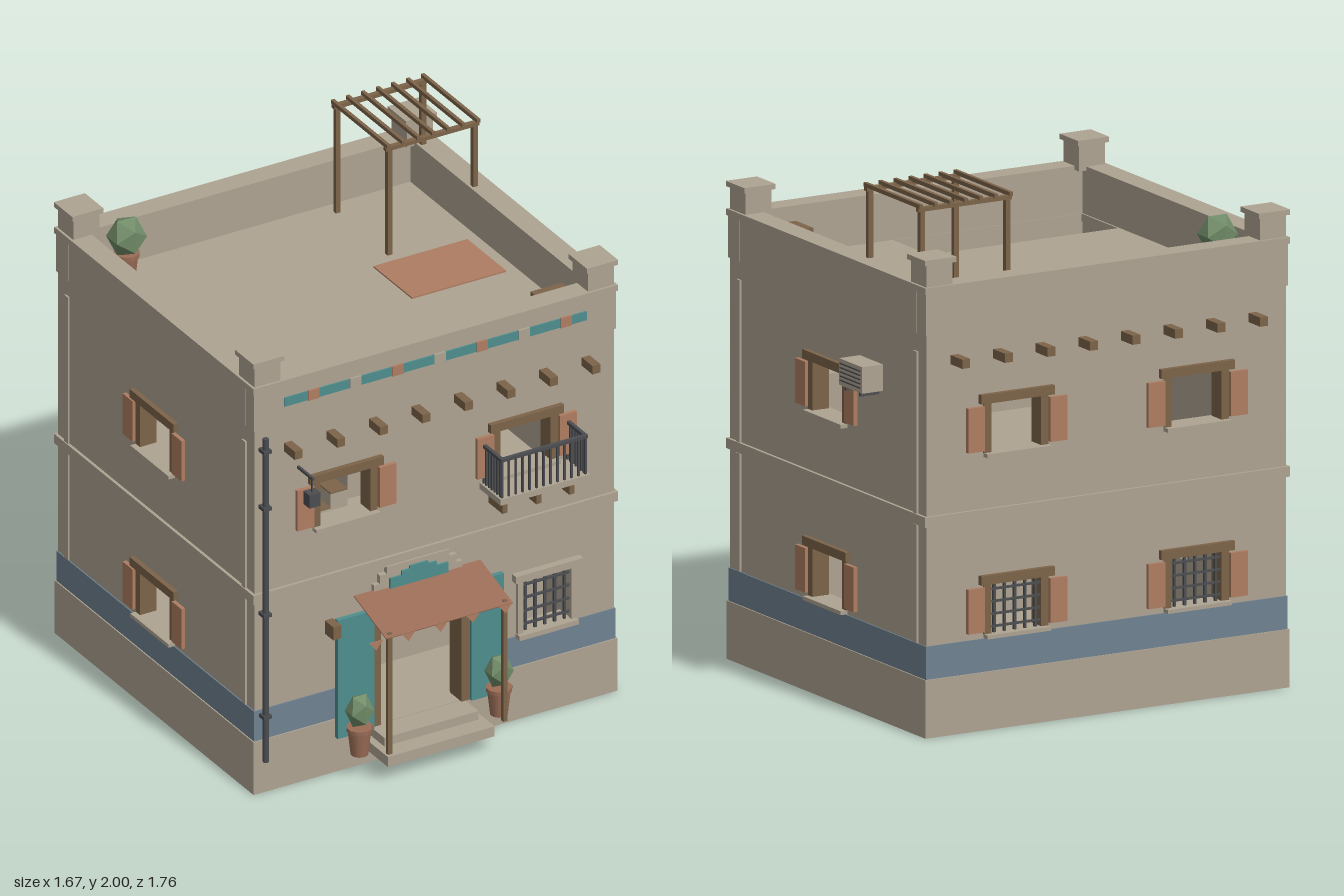
import * as THREE from 'three';

const mat = (name, color) => Object.assign(new THREE.MeshStandardMaterial({ color }), { name });
const M = {
  plaster: mat('plaster', 0xaea392), blue: mat('blue dado', 0x6f8291), wood: mat('wood', 0x7c6449),
  terra: mat('terracotta', 0xae7d62), clay: mat('clay', 0x9a6c56), teal: mat('teal', 0x4f8e8d),
  iron: mat('iron', 0x4b4d50), leaf: mat('foliage', 0x6f8a66),
};
// outer wall faces and wall thickness
const X0 = -0.807, X1 = 0.738, Z0 = -0.795, Z1 = 0.628, T = 0.075;
const DOOR = [-0.285, 0.075];

function add(parent, name, geo, material) {
  const m = new THREE.Mesh(geo, material);
  m.name = name;
  parent.add(m);
  return m;
}
// box given by its lower and upper bounds
function box(parent, name, material, x0, x1, y0, y1, z0, z1) {
  const m = add(parent, name, new THREE.BoxGeometry(x1 - x0, y1 - y0, z1 - z0), material);
  m.position.set((x0 + x1) / 2, (y0 + y1) / 2, (z0 + z1) / 2);
  return m;
}
function rect(C, x0, x1, y0, y1) {
  const s = new C();
  s.moveTo(x0, y0); s.lineTo(x1, y0); s.lineTo(x1, y1); s.lineTo(x0, y1); s.closePath();
  return s;
}
function group(parent, name, x = 0, y = 0, z = 0, ry = 0) {
  const g = new THREE.Group();
  g.name = name; g.position.set(x, y, z); g.rotation.y = ry;
  parent.add(g);
  return g;
}
// wall in its own frame: outside at z = 0, holes as [centre, bottom, width, height]
function wall(g, x0, x1, holes) {
  const s = rect(THREE.Shape, x0, x1, 0.14, 1.69);
  for (const [c, b, w, h] of holes) s.holes.push(rect(THREE.Path, c - w / 2, c + w / 2, b, b + h));
  const geo = new THREE.ExtrudeGeometry(s, { depth: T, bevelEnabled: false });
  add(g, 'wall', geo.translate(0, 0, -T), M.plaster);
}
function grille(g, c, b, w, h) {
  for (let i = 0; i < 5; i++) {
    const x = c - w / 2 + w * (i + 0.5) / 5;
    box(g, 'grilleBar', M.iron, x - 0.005, x + 0.005, b, b + h, -0.012, -0.002);
  }
  for (let i = 0; i < 4; i++) {
    const y = b + h * (i + 0.5) / 4;
    box(g, 'grilleRail', M.iron, c - w / 2, c + w / 2, y - 0.004, y + 0.004, -0.01, 0);
  }
}
// shuttered window around an opening
function shuttered(parent, [c, b, w, h], barred) {
  const g = group(parent, 'window'), r = w / 2;
  box(g, 'lintel', M.wood, c - 0.158, c + 0.158, b + h, b + h + 0.035, -0.06, 0.02);
  box(g, 'sill', M.plaster, c - 0.138, c + 0.138, b - 0.015, b, -0.06, 0.03);
  for (const s of [-1, 1]) {
    const a = c + s * (r - 0.012);
    box(g, 'jamb', M.wood, a - 0.016, a + 0.016, b, b + h, -0.065, 0.006);
    const d = c + s * (r + 0.042);
    box(g, 'shutter', M.terra, d - 0.036, d + 0.036, b + 0.01, b + h - 0.01, 0.002, 0.018);
  }
  if (barred) grille(g, c, b, w - 0.05, h);
}
// trim around the house, optionally broken at the door
function band(parent, name, material, y0, y1, out, th, gap) {
  const a = X0 - out, b = X1 + out, c = Z0 - out, d = Z1 + out, g = group(parent, name);
  if (gap) {
    box(g, name, material, a, DOOR[0], y0, y1, d - th, d);
    box(g, name, material, DOOR[1], b, y0, y1, d - th, d);
  } else box(g, name, material, a, b, y0, y1, d - th, d);
  box(g, name, material, a, b, y0, y1, c, c + th);
  box(g, name, material, a, a + th, y0, y1, c + th, d - th);
  box(g, name, material, b - th, b, y0, y1, c + th, d - th);
}
function planter(parent, x, y, z, r) {
  const g = group(parent, 'planter', x, y, z);
  add(g, 'pot', new THREE.CylinderGeometry(0.045, 0.034, 0.1, 10), M.clay).position.y = 0.05;
  add(g, 'potRim', new THREE.CylinderGeometry(0.05, 0.05, 0.016, 10), M.clay).position.y = 0.107;
  const f = add(g, 'foliage', new THREE.IcosahedronGeometry(r, 0), M.leaf);
  f.material.flatShading = true;
  f.scale.y = 0.073 / r * (r > 0.06 ? 1.15 : 1);
  f.position.y = 0.182;
}
// stepped ornament made of stacked plates: [half width, bottom, top]
const stepped = (g, name, m, rows, z) =>
  rows.forEach(([w, a, b]) => box(g, name, m, -0.115 - w, -0.115 + w, a, b, 0, z));

export function createModel() {
  const root = new THREE.Group();
  root.name = 'house';

  // four walls with their windows
  const W = 0.27, H = 0.19, cx = [-0.42, 0.355];
  const up = cx.map(c => [c, 1.055, W, H]), low = [0.445, 0.36, 0.21, 0.22];
  const front = group(root, 'frontWall', 0, 0, Z1);
  wall(front, X0, X1, [...up, low, [(DOOR[0] + DOOR[1]) / 2, 0.15, DOOR[1] - DOOR[0], 0.52]]);
  up.forEach(o => shuttered(front, o));
  const back = group(root, 'backWall', 0, 0, Z0, Math.PI);
  const backUp = cx.map(c => [-c, 1.055, W, H]), backLow = cx.map(c => [-c, 0.365, W, H]);
  wall(back, -X1, -X0, [...backUp, ...backLow]);
  backUp.forEach(o => shuttered(back, o));
  backLow.forEach(o => shuttered(back, o, true));
  for (const s of [-1, 1]) {
    const g = group(root, s > 0 ? 'leftWall' : 'rightWall', s > 0 ? X1 : X0, 0, 0, s * Math.PI / 2);
    const holes = [[s * 0.085, 1.075, W, H], [s * 0.085, 0.365, W, H]];
    const e = [-s * (Z1 - T), -s * (Z0 + T)].sort((a, b) => a - b);
    wall(g, e[0], e[1], holes);
    holes.forEach(o => shuttered(g, o));
    for (const z of [0.56, -0.725]) for (const [a, b] of [[0.35, 0.8], [0.84, 1.46], [1.53, 1.69]])
      box(g, 'pilaster', M.plaster, -s * z - 0.013, -s * z + 0.013, a, b, 0, 0.008);
  }

  // floors, partition and roof deck with stairwell
  box(root, 'base', M.plaster, X0 - 0.01, X1 + 0.01, 0, 0.15, Z0 - 0.01, Z1 + 0.01);
  box(root, 'upperFloor', M.plaster, X0 + T, X1 - T, 0.8, 0.82, Z0 + T, Z1 - T);
  box(root, 'partition', M.plaster, X0 + T, X1 - T, 0.15, 0.8, 0.23, 0.25);
  const deck = rect(THREE.Shape, X0 + T, X1 - T, -(Z1 - T), -(Z0 + T));
  deck.holes.push(rect(THREE.Path, -0.725, 0.085, -0.55, -0.285));
  const deckGeo = new THREE.ExtrudeGeometry(deck, { depth: 0.03, bevelEnabled: false });
  add(root, 'roofDeck', deckGeo.rotateX(-Math.PI / 2).translate(0, 1.5, 0), M.plaster);
  const stairs = group(root, 'stairs');
  for (let i = 0; i < 11; i++) {
    const x = -0.725 + i * 0.073, y = 0.82 + (i + 1) * 0.06;
    box(stairs, 'step', M.plaster, x, x + 0.073, Math.max(0.82, y - 0.1), y, 0.29, 0.548);
    box(stairs, 'tread', M.wood, x, x + 0.073, y, y + 0.005, i < 4 || i > 8 ? 0.29 : 0.42, 0.548);
  }

  // plinth, dado, string course, parapet and coping
  band(root, 'plinth', M.plaster, 0.15, 0.222, 0.01, 0.03, true);
  band(root, 'dado', M.blue, 0.222, 0.348, 0.005, 0.02, true);
  band(root, 'stringCourse', M.plaster, 0.803, 0.842, 0.012, 0.03);
  band(root, 'parapetBand', M.plaster, 1.53, 1.69, 0.006, 0.03);
  band(root, 'coping', M.plaster, 1.69, 1.715, 0.011, 0.09);
  for (const x of [X0 + 0.055, X1 - 0.055]) for (const z of [Z0 + 0.055, Z1 - 0.055]) {
    const g = group(root, 'cornerPier', x, 0, z);
    box(g, 'pier', M.plaster, -0.056, 0.056, 1.7, 1.8, -0.056, 0.056);
    box(g, 'pierCap', M.plaster, -0.067, 0.067, 1.8, 1.82, -0.067, 0.067);
  }

  // projecting roof beams, front and back
  for (let i = 0; i < 8; i++) {
    const x = -0.664 + i * 0.183;
    box(root, 'beamEnd', M.wood, x - 0.017, x + 0.017, 1.41, 1.445, Z1 - 0.02, 0.707);
    box(root, 'beamEnd', M.wood, x - 0.017, x + 0.017, 1.41, 1.445, -0.88, Z0 + 0.02);
  }
  // painted frieze
  box(root, 'frieze', M.teal, -0.685, 0.615, 1.604, 1.641, Z1, 0.64);
  for (let i = 0; i < 7; i++) {
    const x = -0.56 + i * 0.181;
    box(root, 'friezeTile', i % 2 ? M.plaster : M.terra, x - 0.024, x + 0.024, 1.602, 1.643, Z1, 0.643);
  }

  // barred ground-floor window
  box(front, 'barredLintel', M.plaster, 0.3, 0.59, 0.585, 0.615, 0, 0.03);
  box(front, 'barredSill', M.plaster, 0.315, 0.57, 0.34, 0.36, 0, 0.03);
  for (const x of [0.33, 0.56]) box(front, 'barredJamb', M.plaster, x - 0.012, x + 0.012, 0.36, 0.585, 0, 0.012);
  grille(front, ...low);

  // doorway: frame, open leaves, stepped ornament, steps
  for (const x of [-0.295, 0.088]) box(front, 'doorPost', M.wood, x - 0.018, x + 0.018, 0.15, 0.68, -0.06, 0.022);
  box(front, 'doorLintel', M.wood, -0.32, 0.11, 0.665, 0.705, -0.06, 0.022);
  box(front, 'doorLeaf', M.teal, -0.47, -0.313, 0.15, 0.65, 0.015, 0.035);
  box(front, 'doorLeaf', M.teal, 0.106, 0.245, 0.15, 0.65, 0.015, 0.035);
  stepped(front, 'doorSurround', M.plaster, [[0.19, 0.705, 0.745], [0.165, 0.745, 0.78], [0.135, 0.78, 0.808]], 0.02);
  stepped(front, 'doorOrnament', M.teal, [[0.125, 0.705, 0.76], [0.075, 0.76, 0.778], [0.04, 0.778, 0.79]], 0.028);
  box(root, 'upperStep', M.plaster, -0.315, 0.09, 0.11, 0.148, 0.63, 0.74);
  box(root, 'lowerStep', M.plaster, -0.345, 0.115, 0.07, 0.112, 0.63, 0.815);
  box(root, 'wallBox', M.wood, -0.505, -0.47, 0.59, 0.645, Z1, 0.69);

  // awning on posts with pennants
  const awning = group(root, 'awning', -0.115, 0.685, 0.757);
  awning.rotation.x = Math.atan2(0.07, 0.236);
  box(awning, 'canopy', M.clay, -0.272, 0.272, -0.002, 0.002, -0.123, 0.123);
  for (const x of [-0.362, 0.133]) box(root, 'awningPost', M.wood, x - 0.009, x + 0.009, 0.15, 0.66, 0.845, 0.862);
  const tri = new THREE.Shape([[-0.03, 0], [0, -0.038], [0.03, 0]].map(p => new THREE.Vector2(...p)));
  const flag = new THREE.ExtrudeGeometry(tri, { depth: 0.003, bevelEnabled: false });
  for (let i = 0; i < 5; i++) add(root, 'pennant', flag, M.terra).position.set(-0.43 + i * 0.139, 0.652, 0.872);

  // balcony
  const balcony = group(root, 'balcony');
  box(balcony, 'slab', M.plaster, 0.16, 0.545, 1.015, 1.04, Z1, 0.782);
  for (const x of [0.21, 0.355, 0.497]) box(balcony, 'bracket', M.wood, x - 0.011, x + 0.011, 0.945, 1.015, Z1, 0.73);
  const bar = (x, z) => box(balcony, 'baluster', M.iron, x - 0.004, x + 0.004, 1.04, 1.195, z - 0.004, z + 0.004);
  for (let i = 0; i <= 12; i++) bar(0.172 + i * 0.03, 0.77);
  for (const x of [0.172, 0.532]) {
    for (let i = 0; i < 7; i++) bar(x, 0.64 + i * 0.02);
    box(balcony, 'sideRail', M.iron, x - 0.007, x + 0.007, 1.193, 1.206, Z1, 0.778);
  }
  box(balcony, 'frontRail', M.iron, 0.165, 0.539, 1.193, 1.206, 0.763, 0.778);

  // downpipe and lantern
  add(root, 'downpipe', new THREE.CylinderGeometry(0.012, 0.012, 1.365, 8), M.iron).position.set(-0.773, 0.818, 0.652);
  for (const y of [0.32, 0.75, 1.2, 1.44]) box(root, 'pipeClip', M.iron, -0.79, -0.756, y, y + 0.015, Z1, 0.667);
  const lamp = group(root, 'lantern', -0.62, 0, 0.73);
  box(lamp, 'arm', M.iron, -0.005, 0.005, 1.322, 1.332, Z1 - 0.73, 0.01);
  box(lamp, 'hanger', M.iron, -0.003, 0.003, 1.27, 1.332, -0.003, 0.003);
  box(lamp, 'lampBody', M.iron, -0.024, 0.024, 1.215, 1.27, -0.022, 0.022);

  // cooling unit on the side wall
  const unit = group(root, 'coolingUnit');
  box(unit, 'casing', M.plaster, X1, 0.828, 1.255, 1.356, -0.48, -0.313);
  for (let i = 0; i < 5; i++) box(unit, 'louvre', M.iron, 0.828, 0.831, 1.272 + i * 0.016, 1.277 + i * 0.016, -0.47, -0.323);
  for (const z of [-0.45, -0.345]) box(unit, 'unitBracket', M.iron, X1, 0.82, 1.238, 1.255, z - 0.006, z + 0.006);

  // planters
  planter(root, -0.41, 0.1, 0.72, 0.055);
  planter(root, 0.19, 0.1, 0.72, 0.055);
  planter(root, -0.62, 1.53, -0.615, 0.076);

  // roof furniture: crate, rug and pergola
  box(root, 'crate', M.wood, 0.5, 0.635, 1.53, 1.655, 0.425, 0.555);
  box(root, 'rug', M.terra, 0.21, 0.615, 1.53, 1.536, -0.225, 0.055);
  const pergola = group(root, 'pergola');
  for (const z of [-0.66, -0.285]) {
    for (const x of [0.312, 0.68]) box(pergola, 'post', M.wood, x - 0.01, x + 0.01, 1.53, 1.972, z - 0.01, z + 0.01);
    box(pergola, 'beam', M.wood, 0.295, 0.697, 1.97, 1.986, z - 0.01, z + 0.01);
  }
  for (let i = 0; i < 7; i++) {
    const x = 0.303 + i * 0.0645;
    box(pergola, 'slat', M.wood, x - 0.007, x + 0.007, 1.984, 2, -0.677, -0.27);
  }
  return root;
}
